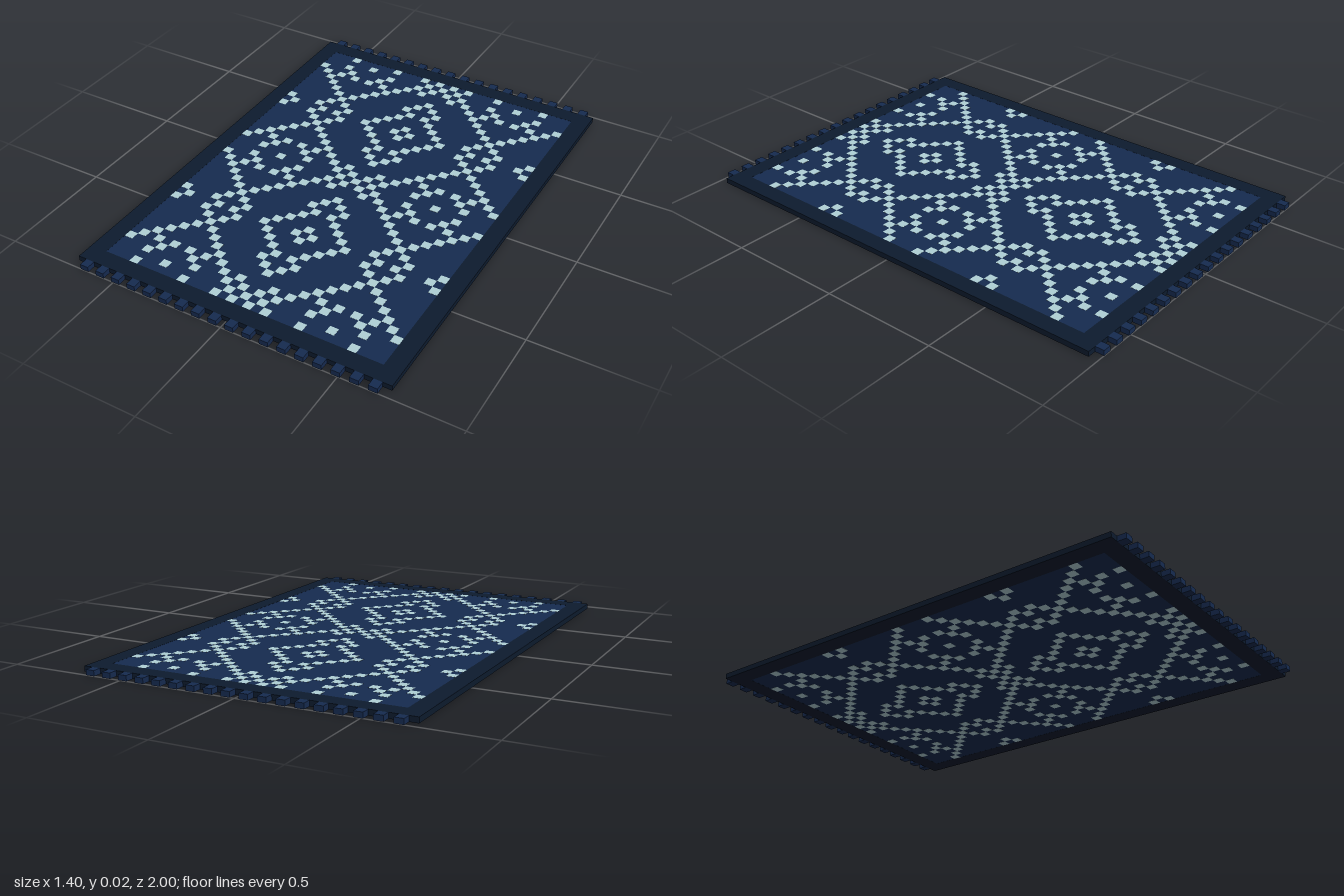
import * as THREE from 'three';
import { mergeGeometries } from 'three/addons/utils/BufferGeometryUtils.js';

const CELL = 2 / 53;          // one woven knot
const H = CELL * 0.6;         // rug thickness
const HALF_W = 16, HALF_L = 23; // field half size in knots, centre knot excluded

const paint = (color) => new THREE.MeshStandardMaterial({ color, flatShading: true });

// Box measured in knots, centred on knot (i, j)
function block(i, j, w, l, inset = 0) {
  return new THREE.BoxGeometry(w * CELL, H - 2 * inset, l * CELL)
    .translate(i * CELL, H / 2, j * CELL);
}

function part(name, geometries, material) {
  const mesh = new THREE.Mesh(mergeGeometries(geometries), material);
  mesh.name = name;
  return mesh;
}

// Triangle wave: folds a knot index into one mirrored repeat
function fold(n, half) {
  const m = Math.abs(n) % (2 * half);
  return m > half ? 2 * half - m : m;
}

// Small accents of one repeat, as "column,row"
const accents = new Set([
  '0,0', '1,1', '2,2',               // crossing
  '0,4', '1,5', '2,6',               // diamond tips
  '0,10', '1,11',                    // diamond heart
  '10,0', '7,1', '8,2', '7,3', '9,3', // rosette
  '9,9', '8,10', '9,11',             // ribbon at the lattice nodes
]);

function isLight(i, j) {
  const t = fold(i, 10), s = fold(j, 11);
  const lattice = t - s === 2;
  const diamond = s - t === 6 && t > 0;
  return lattice || diamond || accents.has(`${t},${s}`);
}

export function createModel() {
  const rug = new THREE.Group();
  rug.name = 'rug';
  const navy = paint(0x162b50), dark = paint(0x0d1b2e), pale = paint(0xb0d0d6);

  // Woven field, a hair thinner than the knots set in it
  rug.add(part('field', [block(0, 0, 2 * HALF_W + 1, 2 * HALF_L + 1, 0.0004)], navy));

  // Pale knots run right through, so they show on both faces
  const knots = [];
  for (let i = -HALF_W; i <= HALF_W; i++)
    for (let j = -HALF_L; j <= HALF_L; j++)
      if (isLight(i, j)) knots.push(block(i, j, 1, 1));
  rug.add(part('patternKnots', knots, pale));

  // Border two knots wide, and the fringe at both ends
  const border = [], fringe = [];
  for (const side of [-1, 1]) {
    border.push(block(side * 17.5, 0, 2, 51), block(0, side * 24.5, 33, 2));
    for (let i = -17; i <= 17; i += 2) fringe.push(block(i, side * 26, 1, 1));
  }
  rug.add(part('border', border, dark), part('fringe', fringe, navy));
  return rug;
}
